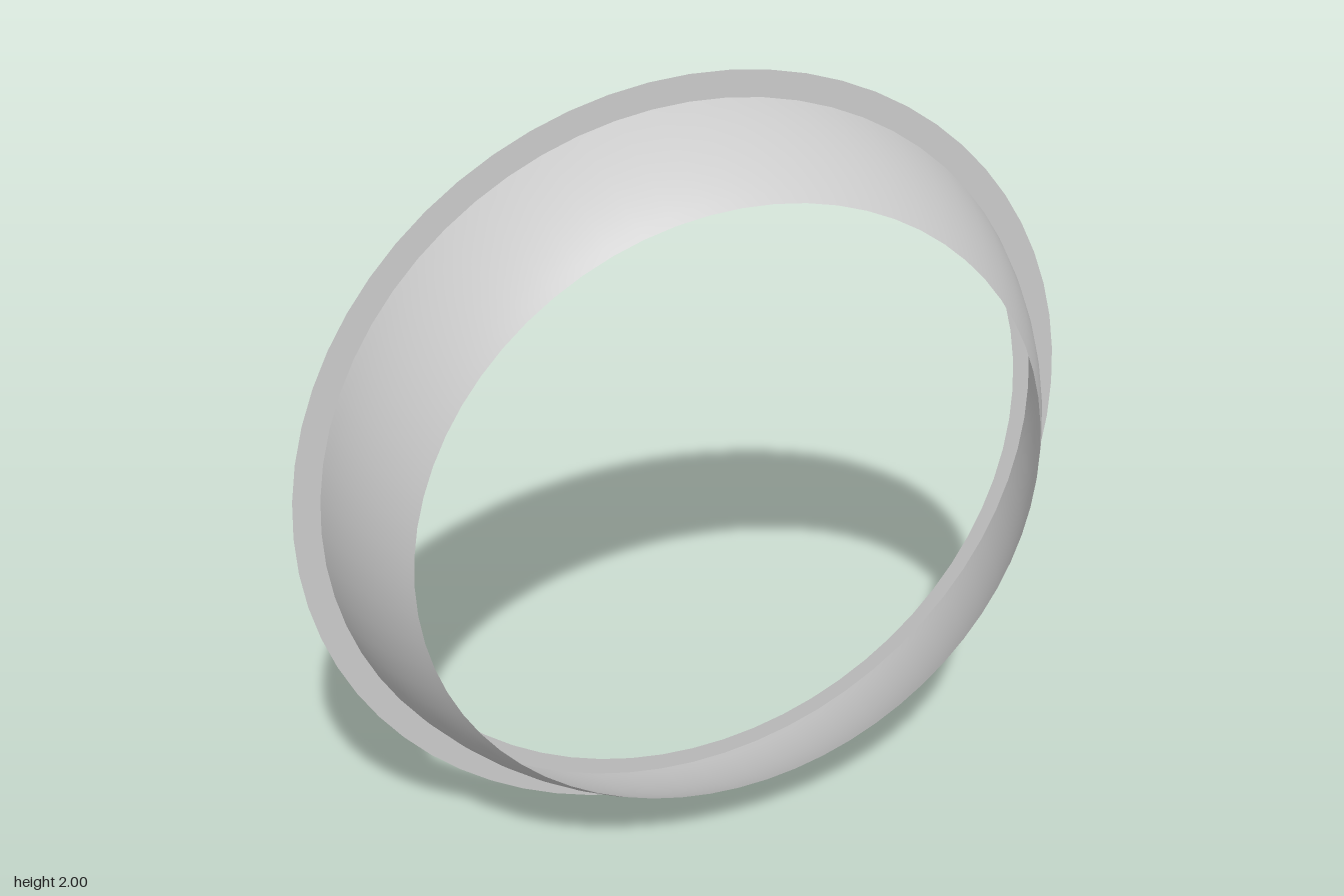
import * as THREE from 'three';

export function createModel() {
  const model = new THREE.Group();
  const material = new THREE.MeshStandardMaterial({ color: 0xcccccc, side: THREE.DoubleSide });
  const SIDES = 64;
  const HALF_DEPTH = 0.154;
  const FRONT_RADIUS = 0.8;
  const BACK_RADIUS = 0.933;

  // Sphere whose slice has the two rim radii at the given depth
  const depth = 2 * HALF_DEPTH;
  const backOffset = (BACK_RADIUS ** 2 - FRONT_RADIUS ** 2 - depth ** 2) / (2 * depth);
  const sphereRadius = Math.hypot(BACK_RADIUS, backOffset);

  // Thin curved band, narrowing toward the front
  const profile = [];
  const STEPS = 12;
  for (let i = 0; i <= STEPS; i++) {
    const d = (depth * i) / STEPS;
    const r = Math.sqrt(sphereRadius ** 2 - (backOffset + d) ** 2);
    profile.push(new THREE.Vector2(r, d - HALF_DEPTH));
  }
  const bandGeometry = new THREE.LatheGeometry(profile, SIDES);
  bandGeometry.rotateX(Math.PI / 2);
  const band = new THREE.Mesh(bandGeometry, material);
  band.name = 'curvedBand';
  band.position.y = 1;
  model.add(band);

  // Flat flange at the back, reaching both inside and outside the band
  const flange = new THREE.Mesh(new THREE.RingGeometry(0.888, 1, SIDES), material);
  flange.name = 'backFlange';
  flange.position.set(0, 1, -HALF_DEPTH);
  model.add(flange);

  return model;
}
